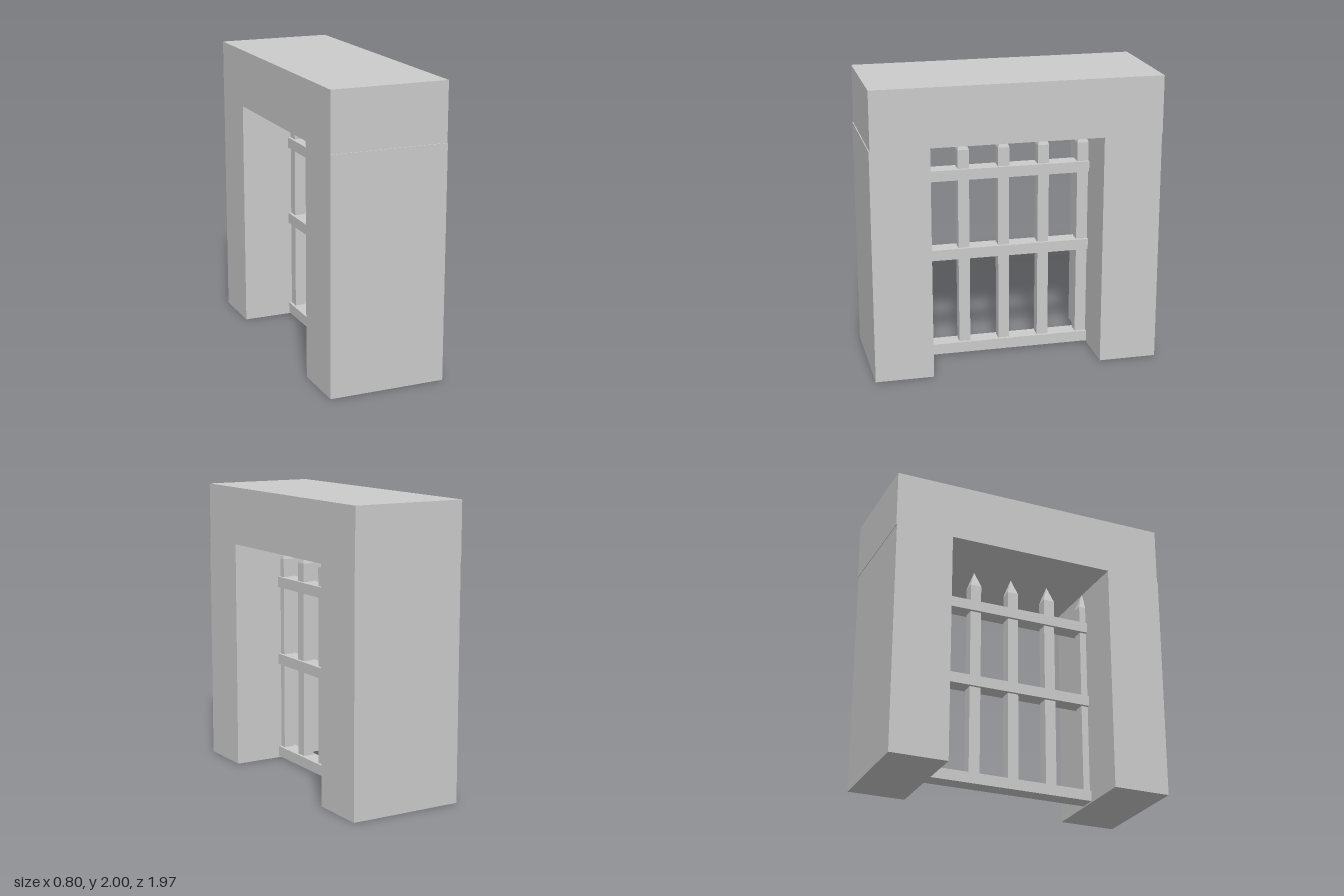
import * as THREE from 'three';

export function createModel() {
  const model = new THREE.Group();
  model.name = 'gateway';
  const material = new THREE.MeshStandardMaterial({ color: 0xcccccc, flatShading: true });

  const add = (name, geometry, x, y, z, parent) => {
    const mesh = new THREE.Mesh(geometry, material);
    mesh.name = name;
    mesh.position.set(x, y, z);
    parent.add(mesh);
    return mesh;
  };

  // Stone frame: two pillars and the lintel, set back a hair at the front
  add('frontPillar', new THREE.BoxGeometry(0.8, 1.6, 0.398), 0, 0.8, 0.786, model);
  add('backPillar', new THREE.BoxGeometry(0.8, 1.6, 0.398), 0, 0.8, -0.782, model);
  add('lintel', new THREE.BoxGeometry(0.8, 0.4, 1.964), 0, 1.8, -0.003, model);

  const gate = new THREE.Group();
  gate.name = 'gate';
  model.add(gate);

  // Horizontal rails, let into the pillars
  for (const y of [0.047, 0.742, 1.307]) {
    add('rail', new THREE.BoxGeometry(0.12, 0.075, 1.2), 0, y, 0, gate);
  }

  // Square upright bars with pyramid points
  const size = 0.078, base = 0.02, shoulder = 1.475, tip = 1.595;
  const barGeometry = new THREE.BoxGeometry(size, shoulder - base, size);
  const pointGeometry = new THREE.ConeGeometry(size / Math.SQRT2, tip - shoulder, 4, 1, true);
  pointGeometry.rotateY(Math.PI / 4);
  for (let i = 0; i < 5; i++) {
    const z = 0.578 - i * 0.28;
    add('bar', barGeometry, 0, (base + shoulder) / 2, z, gate);
    add('barPoint', pointGeometry, 0, (shoulder + tip) / 2, z, gate);
  }

  return model;
}
